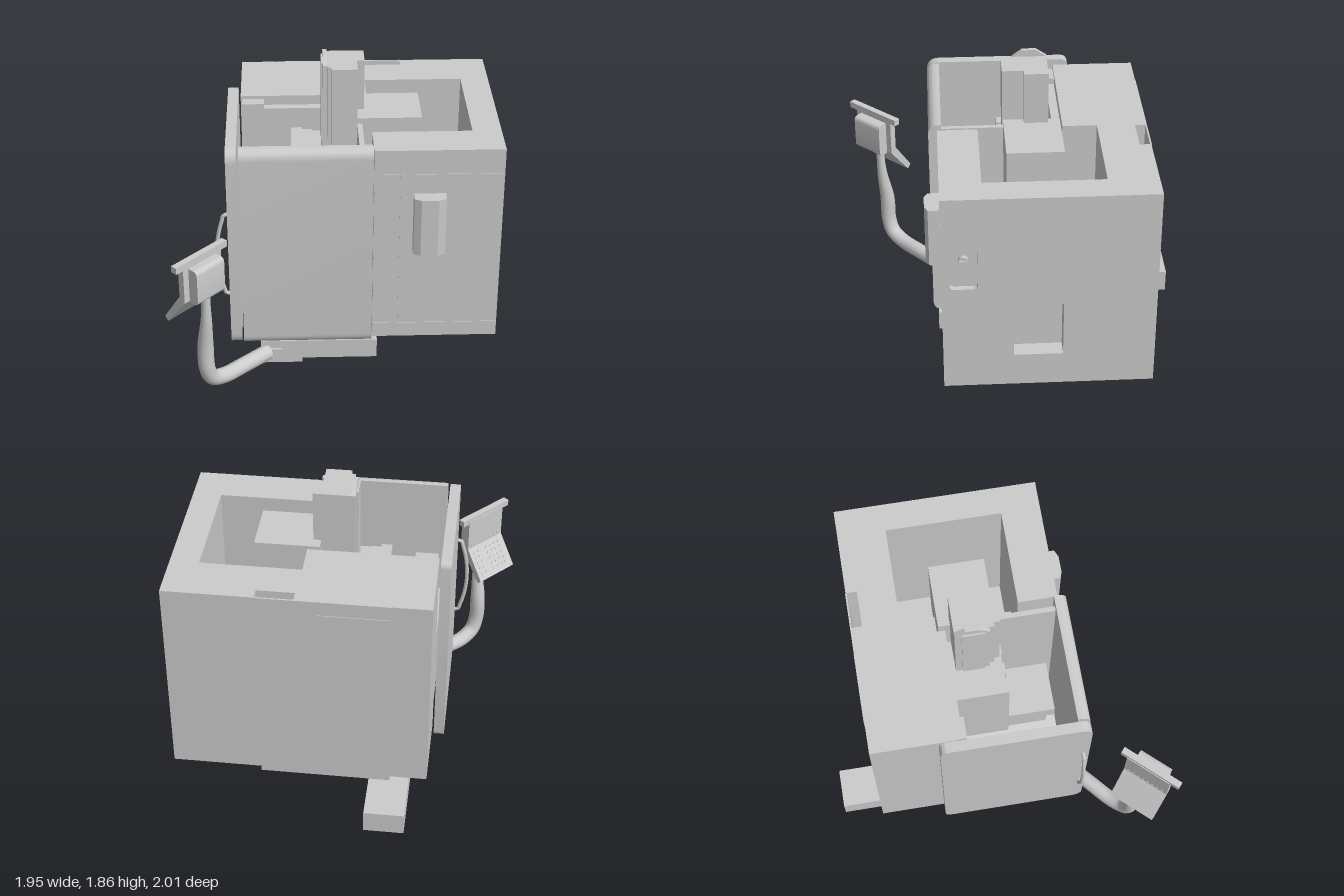
import * as THREE from 'three';
import { toCreasedNormals } from 'three/addons/utils/BufferGeometryUtils.js';

const grey = new THREE.MeshStandardMaterial({ color: 0xcccccc, side: THREE.DoubleSide });

function add(parent, name, geo) {
  const m = new THREE.Mesh(geo, grey);
  m.name = name;
  parent.add(m);
  return m;
}

// Box given by its limits on each axis
function box(parent, name, x0, x1, y0, y1, z0, z1) {
  const g = new THREE.BoxGeometry(x1 - x0, y1 - y0, z1 - z0);
  return add(parent, name, g.translate((x0 + x1) / 2, (y0 + y1) / 2, (z0 + z1) / 2));
}

const poly = (pts) => new THREE.Shape(pts.map(([a, b]) => new THREE.Vector2(a, b)));

// Rectangle with a radius per corner: [low-low, high-low, high-high, low-high]
function roundRect(a0, b0, a1, b1, [r0, r1, r2, r3]) {
  const s = new THREE.Shape();
  s.moveTo(a0 + r0, b0).lineTo(a1 - r1, b0);
  if (r1) s.quadraticCurveTo(a1, b0, a1, b0 + r1);
  s.lineTo(a1, b1 - r2);
  if (r2) s.quadraticCurveTo(a1, b1, a1 - r2, b1);
  s.lineTo(a0 + r3, b1);
  if (r3) s.quadraticCurveTo(a0, b1, a0, b1 - r3);
  s.lineTo(a0, b0 + r0);
  if (r0) s.quadraticCurveTo(a0, b0, a0 + r0, b0);
  return s;
}

const extrude = (shape, depth) =>
  new THREE.ExtrudeGeometry(shape, { depth, bevelEnabled: false, curveSegments: 10 });
// (z, y) outline pushed from x0 to x1
const extrudeX = (shape, x0, x1) =>
  toCreasedNormals(extrude(shape, x1 - x0).rotateY(-Math.PI / 2).translate(x1, 0, 0), 0.5);
// (x, z) outline pushed from y0 to y1
const extrudeY = (pts, y0, y1) =>
  extrude(poly(pts.map(([x, z]) => [x, -z])), y1 - y0).rotateX(-Math.PI / 2).translate(0, y0, 0);
// (x, y) outline pushed from z0 to z1
const extrudeZ = (pts, z0, z1) => extrude(poly(pts), z1 - z0).translate(0, 0, z0);

function buildEnclosure(root) {
  const g = new THREE.Group();
  g.name = 'enclosure';
  root.add(g);

  // Housing wrapped round the open work chamber and the carriage pocket
  add(g, 'housing', extrudeY([
    [-0.56, -0.75], [0.21, -0.75], [0.21, -0.69], [0.43, -0.69], [0.43, -0.75], [0.86, -0.75],
    [0.86, 0.45], [0.21, 0.45], [0.21, 0.22], [0.79, 0.22], [0.79, -0.47], [0.2, -0.47],
    [0.2, -0.27], [-0.56, -0.27]], 0.22, 1.49));
  box(g, 'pocketFloor', 0.21, 0.79, 0.22, 0.4, -0.47, 0.22);
  box(g, 'carriageBed', 0.21, 0.4, 0.4, 0.9, -0.47, 0.22);

  // Right wall with a rounded lock recess and a square service recess
  const wall = poly([[-0.75, 0.22], [0.45, 0.22], [0.45, 1.49], [-0.75, 1.49]]);
  wall.holes.push(roundRect(0.25, 0.9, 0.41, 1.2, [0.03, 0.03, 0.03, 0.03]));
  wall.holes.push(roundRect(-0.23, 0.43, 0.05, 0.78, [0, 0, 0, 0]));
  add(g, 'rightWall', extrudeX(wall, 0.86, 0.96));
  box(g, 'lockPlate', 0.86, 0.925, 0.9, 1.2, 0.25, 0.41);
  const lock = add(g, 'lockKnob', new THREE.CylinderGeometry(0.028, 0.028, 0.03, 20));
  lock.rotation.z = Math.PI / 2;
  lock.position.set(0.935, 1.08, 0.33);
  box(g, 'lockKey', 0.945, 0.958, 1.072, 1.088, 0.305, 0.355);

  // Thin cover panels
  box(g, 'backPanel', -0.34, 0.43, 0.19, 1.49, -0.76, -0.75);
  box(g, 'backRightPanel', 0.43, 0.96, 0.22, 1.49, -0.757, -0.75);
  box(g, 'backLeftPanel', -0.56, -0.345, 0.22, 1.49, -0.757, -0.75);
  box(g, 'backHatch', -0.33, 0.08, 1.02, 1.4, -0.764, -0.76);
  for (const [y0, y1] of [[0.22, 0.315], [0.325, 1.335], [1.345, 1.49]])
    box(g, 'frontPanel', y0 === 0.325 ? 0.362 : 0.212, 0.96, y0, y1, 0.45, 0.454);
  box(g, 'frontPost', 0.212, 0.354, 0.325, 1.335, 0.45, 0.454);

  // Chamfered grip box on the front
  add(g, 'frontGrip', extrudeY([[0.44, 0.45], [0.44, 0.52], [0.48, 0.54], [0.58, 0.54],
    [0.625, 0.52], [0.625, 0.45]], 0.84, 1.21));

  // Doors
  add(g, 'frontDoor', extrudeX(roundRect(0.43, 0.21, 0.505, 1.52, [0, 0.065, 0.065, 0]), -0.56, 0.205));
  add(g, 'sideDoor', extrudeX(roundRect(-0.365, 0.21, 0.505, 1.52, [0.05, 0.08, 0.08, 0.05]), -0.635, -0.573));
  const handle = new THREE.CatmullRomCurve3([[-0.63, 1.1], [-0.655, 1.095], [-0.667, 1.06],
    [-0.667, 0.6], [-0.655, 0.565], [-0.63, 0.56]].map(([x, y]) => new THREE.Vector3(x, y, 0.47)),
    false, 'chordal');
  add(g, 'sideDoorHandle', new THREE.TubeGeometry(handle, 40, 0.012, 10));
}

function buildChamber(root) {
  const g = new THREE.Group();
  g.name = 'workChamber';
  root.add(g);

  box(g, 'innerRightWall', 0.13, 0.16, 0.33, 1.47, 0.07, 0.43);
  box(g, 'cornerPost', -0.55, -0.42, 0.25, 1.47, -0.27, -0.2);
  box(g, 'rearCover', -0.42, 0.13, 0.25, 1.43, -0.27, -0.22);
  // Stepped sliding cover
  for (let i = 0; i < 6; i++)
    box(g, 'slidingCover', -0.26 + i * 0.065, -0.195 + i * 0.065, 0.6, 1.3 - i * 0.012, -0.22, 0.095 - (i % 2) * 0.01);
  // Sloping sheets that lead down to the trough
  add(g, 'rightSlope', extrudeZ([[0.16, 0.36], [-0.19, 0.23], [-0.19, 0.21], [0.16, 0.34]], -0.27, 0.43));
  add(g, 'leftSlope', extrudeZ([[-0.55, 0.75], [-0.5, 0.75], [-0.45, 0.23], [-0.47, 0.21], [-0.55, 0.22]], -0.2, 0.43));
  box(g, 'workTable', -0.19, 0.12, 0.55, 0.65, 0.095, 0.4);
  box(g, 'tableBase', -0.15, 0.1, 0.34, 0.55, -0.22, 0.36);
}

function buildSpindle(root) {
  const g = new THREE.Group();
  g.name = 'spindleHead';
  root.add(g);
  box(g, 'carriage', 0.13, 0.51, 0.9, 1.503, -0.26, 0.07);
  box(g, 'column', -0.02, 0.13, 0.95, 1.82, -0.19, 0.075);
  box(g, 'columnStep', 0.13, 0.175, 0.95, 1.82, -0.19, -0.05);
  box(g, 'columnSide', -0.045, -0.02, 0.95, 1.82, -0.19, 0.04);
  add(g, 'columnCap', extrudeX(poly([[-0.19, 0.95], [0.01, 0.95], [0.01, 1.815], [-0.05, 1.86],
    [-0.13, 1.86], [-0.19, 1.82]]), -0.07, -0.045));
  box(g, 'columnEdge', -0.08, -0.07, 0.95, 1.82, -0.15, -0.02);
  const nose = add(g, 'spindleNose', new THREE.CylinderGeometry(0.07, 0.05, 0.15, 24));
  nose.position.set(0.05, 0.875, 0);
}

function buildBase(root) {
  box(root, 'chipConveyor', -0.45, -0.21, 0, 0.14, -1, 0.4);
  box(root, 'frontBase', -0.46, 0.24, 0.085, 0.21, 0.35, 0.475);
  add(root, 'chipTrough', extrudeX(poly([[-0.6, 0.22], [-0.48, 0.155], [0.36, 0.155], [0.42, 0.22]]), -0.53, -0.12));
  box(root, 'armBracket', -0.43, -0.33, 0.105, 0.16, 0.46, 0.49);
}

function buildPendant(root) {
  const g = new THREE.Group();
  g.name = 'controlPendant';
  root.add(g);

  // Bent arm, narrowing towards the top
  const path = new THREE.CatmullRomCurve3([[-0.42, 0.13, 0.47], [-0.56, 0.128, 0.595], [-0.68, 0.13, 0.7],
    [-0.745, 0.17, 0.765], [-0.77, 0.25, 0.79], [-0.773, 0.42, 0.795], [-0.76, 0.62, 0.82],
    [-0.757, 0.84, 0.828]].map((p) => new THREE.Vector3(...p)), false, 'centripetal');
  const rings = 64, sides = 18;
  const tube = new THREE.TubeGeometry(path, rings, 0.048, sides);
  const pos = tube.attributes.position, v = new THREE.Vector3();
  for (let i = 0; i <= rings; i++) {
    const c = path.getPointAt(i / rings);
    const k = 1 - 0.45 * THREE.MathUtils.smoothstep(c.y, 0.35, 0.75);
    for (let j = 0; j <= sides; j++) {
      const n = i * (sides + 1) + j;
      v.fromBufferAttribute(pos, n).sub(c).multiplyScalar(k).add(c);
      pos.setXYZ(n, v.x, v.y, v.z);
    }
  }
  tube.computeVertexNormals();
  add(g, 'arm', tube);

  // Panel, turned to face the operator
  const panel = new THREE.Group();
  panel.name = 'controlPanel';
  panel.position.set(-0.785, 0, 0.85);
  panel.rotation.y = -2.32;
  g.add(panel);
  add(panel, 'panelShell', extrudeX(poly([[-0.02, 1.06], [0.02, 1.06], [0.02, 0.85], [0.15, 0.665],
    [0.125, 0.64], [-0.02, 0.82]]), -0.155, 0.14));
  box(panel, 'topBar', -0.2, 0.195, 1.04, 1.08, -0.025, 0.015);
  add(panel, 'rearBox', extrudeX(roundRect(-0.085, 0.81, -0.02, 1.03, [0.03, 0, 0, 0.03]), -0.115, 0.1));

  // Keys in rows on the sloping face
  const keys = new THREE.Group();
  keys.name = 'keys';
  keys.position.set(0, 0.757, 0.085);
  keys.rotation.x = -Math.atan2(0.13, 0.185);
  panel.add(keys);
  for (let r = 0; r < 5; r++)
    for (let c = 0; c < 7; c++)
      if (c !== 2) {
        const x = -0.125 + c * 0.035, y = -0.075 + r * 0.036;
        box(keys, 'key', x, x + 0.016, y, y + 0.014, -0.004, 0.004);
      }
  for (let c = 0; c < 8; c++)
    box(panel, 'screenKey', -0.13 + c * 0.033, -0.116 + c * 0.033, 0.865, 0.875, 0.018, 0.024);
}

export function createModel() {
  const root = new THREE.Group();
  root.name = 'machiningCentre';
  buildBase(root);
  buildEnclosure(root);
  buildChamber(root);
  buildSpindle(root);
  buildPendant(root);
  return root;
}
